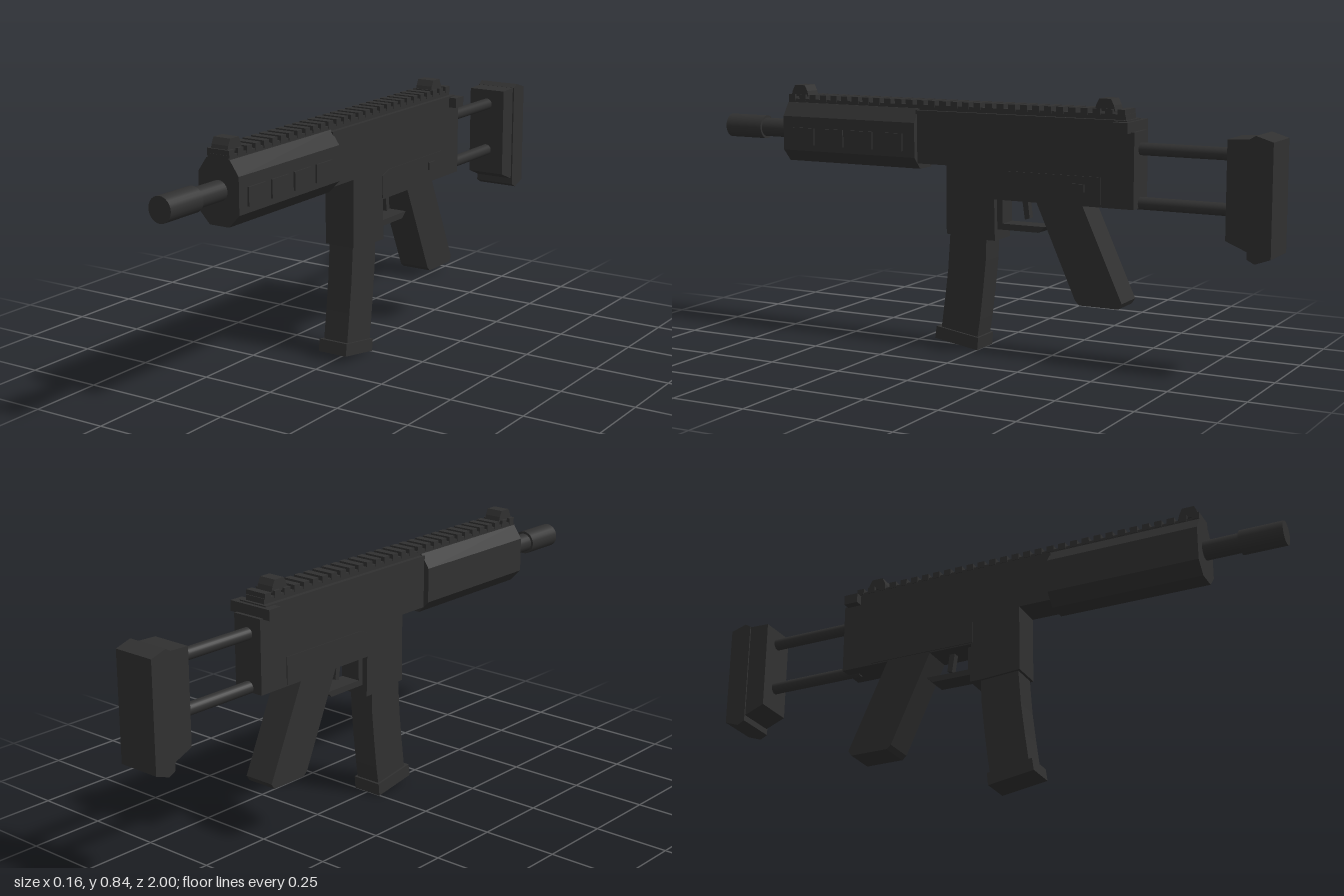
import * as THREE from 'three';

const black = new THREE.MeshStandardMaterial({ color: 0x303030 });
black.name = 'matte black';

export function createModel() {
  const group = new THREE.Group();

  const add = (name, geometry) => {
    const mesh = new THREE.Mesh(geometry, black);
    mesh.name = name;
    group.add(mesh);
    return mesh;
  };
  const box = (name, x0, x1, y0, y1, z0, z1) =>
    add(name, new THREE.BoxGeometry(x1 - x0, y1 - y0, z1 - z0))
      .position.set((x0 + x1) / 2, (y0 + y1) / 2, (z0 + z1) / 2);

  // Side outline given as [z, y] points, extruded across x, optionally chamfered
  const profile = (name, points, half, chamfer = 0) => {
    const shape = new THREE.Shape(points.map(([z, y]) => new THREE.Vector2(z, y)));
    const depth = 2 * (half - chamfer);
    const geometry = new THREE.ExtrudeGeometry(shape, {
      depth, bevelEnabled: chamfer > 0, bevelThickness: chamfer,
      bevelSize: chamfer, bevelOffset: -chamfer, bevelSegments: 1,
    });
    geometry.translate(0, 0, -depth / 2).rotateY(-Math.PI / 2);
    return add(name, geometry);
  };
  // Round rod along z
  const rod = (name, r, y, z0, z1) => {
    const geometry = new THREE.CylinderGeometry(r, r, z1 - z0, 24).rotateX(Math.PI / 2);
    add(name, geometry).position.set(0, y, (z0 + z1) / 2);
  };

  // Barrel and muzzle
  rod('barrel', 0.032, 0.69, 0.7, 0.87);
  rod('muzzle', 0.04, 0.69, 0.855, 1);

  // Eight-sided handguard
  const half = [[0.035, 0.585], [0.073, 0.625], [0.073, 0.74], [0.042, 0.785]];
  const outline = [...half, ...half.map(([x, y]) => [-x, y]).reverse()];
  const octagon = new THREE.Shape(outline.map(([x, y]) => new THREE.Vector2(x, y)));
  add('handguard', new THREE.ExtrudeGeometry(octagon, { depth: 0.515, bevelEnabled: false }))
    .position.z = 0.22;
  for (let i = 0; i < 4; i++) {
    const z = 0.265 + i * 0.115;
    box('handguardPanel', 0.07, 0.079, 0.645, 0.703, z, z + 0.085);
  }

  // Receiver with magazine well
  profile('receiver', [
    [0.225, 0.605], [0.225, 0.78], [-0.525, 0.78], [-0.525, 0.745], [-0.55, 0.745],
    [-0.55, 0.505], [-0.065, 0.505], [-0.068, 0.37], [-0.03, 0.37], [0.11, 0.38], [0.11, 0.605],
  ], 0.054);
  for (const s of [-1, 1]) {
    const panel = profile('receiverPanel',
      [[-0.06, 0.51], [-0.06, 0.585], [-0.1, 0.6], [-0.44, 0.6], [-0.44, 0.51]], 0.002);
    panel.position.x = s * 0.055;
  }
  box('selector', 0.054, 0.063, 0.55, 0.575, -0.385, -0.345);
  box('chargingHandle', -0.081, 0.081, 0.742, 0.776, -0.538, -0.488);

  // Toothed top rail
  box('railBase', -0.038, 0.038, 0.775, 0.797, -0.515, 0.735);
  for (let i = 0; i < 30; i++) {
    const z = -0.512 + i * 0.0421;
    box('railTooth', -0.04, 0.04, 0.79, 0.812, z, z + 0.025);
  }

  // Front and rear sights
  for (const z of [0.695, -0.44]) {
    profile('sight', [
      [z - 0.035, 0.805], [z + 0.035, 0.805], [z + 0.03, 0.823],
      [z + 0.02, 0.843], [z - 0.02, 0.843], [z - 0.03, 0.823],
    ], 0.03);
  }

  // Curved magazine and its base plate
  profile('magazine', [
    [0.1, 0.4], [-0.033, 0.4], [-0.03, 0.3], [-0.02, 0.2], [-0.008, 0.1], [0.003, 0.03],
    [0.137, 0.05], [0.122, 0.16], [0.11, 0.26],
  ].reverse(), 0.045);
  profile('magazineBase', [
    [-0.002, 0], [0.156, 0.025], [0.15, 0.066], [-0.006, 0.042],
  ], 0.053);

  // Trigger, guard and pistol grip
  profile('trigger', [
    [-0.143, 0.52], [-0.155, 0.44], [-0.172, 0.445], [-0.163, 0.52],
  ].reverse(), 0.012);
  box('guardPost', -0.035, 0.035, 0.405, 0.51, -0.085, -0.066);
  profile('triggerGuard', [
    [-0.066, 0.405], [-0.066, 0.425], [-0.238, 0.425], [-0.215, 0.405],
  ], 0.035);
  profile('grip', [
    [-0.215, 0.51], [-0.375, 0.51], [-0.515, 0.205], [-0.503, 0.187], [-0.37, 0.187], [-0.355, 0.2],
  ], 0.054);

  // Twin stock rods
  rod('upperStockRod', 0.02, 0.69, -0.87, -0.54);
  rod('lowerStockRod', 0.02, 0.52, -0.87, -0.51);

  // Shoulder stock and butt pad
  profile('stock', [
    [-0.855, 0.435], [-0.855, 0.742], [-0.94, 0.745], [-0.94, 0.4],
  ], 0.068);
  profile('buttPad', [
    [-0.925, 0.385], [-0.925, 0.745], [-0.945, 0.757], [-1, 0.74], [-1, 0.39], [-0.95, 0.372],
  ], 0.073);

  return group;
}
